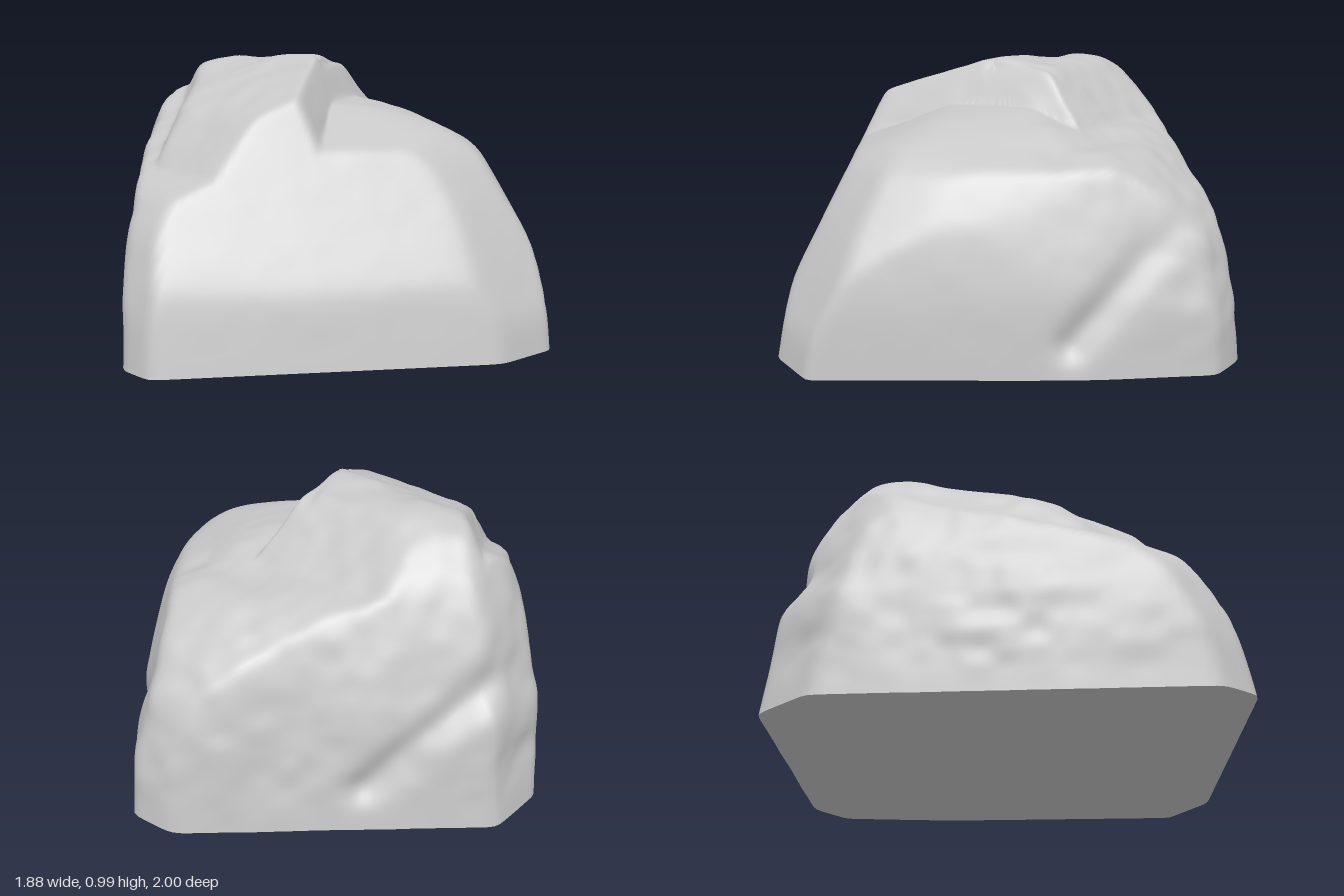
import * as THREE from 'three';

// Wall directions around the footprint, as [x, z]
const SE = [0.614, 0.789], E = [0.936, 0.351], ENE = [0.92, -0.39], NE = [0.805, -0.593], NNE = [0.73, -0.683];
const N = [0, -1], NNW = [-0.2, -0.98], NW = [-0.625, -0.78], W = [-0.998, -0.06], SW = [-0.812, 0.584], S = [-0.275, 0.96];

// Each wall profile is a list of [distance outward, height]; every segment becomes one facet plane
function facets(dir, profile) {
  const planes = [];
  for (let i = 0; i < profile.length - 1; i++) {
    const [d1, y1] = profile[i], [d2, y2] = profile[i + 1];
    const n = new THREE.Vector3(dir[0] * (y2 - y1), d1 - d2, dir[1] * (y2 - y1));
    planes.push(n.divideScalar(d1 * (y2 - y1) + y1 * (d1 - d2)));
  }
  return planes;
}

// Walls shared by both masses
const shared = [
  ...facets(NW, [[0.83, 0], [0.80, 0.3], [0.74, 0.55], [0.64, 0.8], [0.52, 0.94], [0.2, 1.03]]),
  ...facets(NNW, [[0.95, 0.36], [0.8, 0.57], [0.3, 0.95]]),
  ...facets(NNE, [[0.757, 0], [0.735, 0.25], [0.64, 0.55]]),
  ...facets(W, [[0.94, 0], [0.88, 0.45], [0.8, 0.69], [0.67, 0.935], [0.4, 1.02]]),
  ...facets(SE, [[0.765, 0], [0.72, 0.25], [0.5, 0.685]]),
  ...facets(E, [[0.91, 0], [0.89, 0.13]]),
];
// Broad lower mass with the shoulder
const shoulder = [
  ...shared, new THREE.Vector3(0.1, 1, 0).divideScalar(0.835),
  ...facets(SE, [[0.5, 0.685], [0.22, 0.8]]),
  ...facets(E, [[0.89, 0.13], [0.73, 0.46], [0.6, 0.65], [0.5, 0.73], [0.25, 0.81]]),
  ...facets(ENE, [[0.72, 0.45], [0.6, 0.65], [0.48, 0.74], [0.3, 0.8]]),
  ...facets(NE, [[0.725, 0], [0.71, 0.25], [0.66, 0.5], [0.57, 0.67], [0.35, 0.78], [0.15, 0.83]]),
  ...facets(N, [[1, 0], [0.985, 0.2], [0.93, 0.44], [0.8, 0.58], [0.65, 0.69], [0.45, 0.75]]),
  ...facets(SW, [[0.717, 0], [0.71, 0.35], [0.67, 0.62], [0.6, 0.8]]),
  ...facets(S, [[0.98, 0], [0.955, 0.2], [0.88, 0.43], [0.8, 0.54], [0.6, 0.63]]),
];
// Taller block, cut off by a steep step
const crown = [
  ...shared, new THREE.Vector3(0, 1 / 0.995, 0),
  ...facets(NE, [[0.725, 0], [0.71, 0.25], [0.62, 0.55]]),
  ...facets([0.982, -0.19], [[0.15, 0.72], [0.04, 0.91], [0, 0.985]]),
  ...facets(N, [[1, 0], [0.985, 0.2], [0.52, 0.66], [0.25, 0.96], [0, 1]]),
  ...facets(SW, [[0.717, 0], [0.66, 0.5], [0.5, 0.86], [0.43, 0.98]]),
  ...facets(S, [[0.98, 0], [0.945, 0.2], [0.86, 0.36], [0.66, 0.62], [0.49, 0.8], [0.2, 0.93], [0, 0.995]]),
];

// Slightly rounded intersection of the planes along direction u
function reach(planes, u) {
  const p = 110;
  let sum = 0;
  for (const n of planes) sum += Math.pow(Math.max(0, n.dot(u)), p);
  return Math.pow(sum, -1 / p);
}

// Seeded value noise
function hash(x, y, z) {
  const h = Math.sin(x * 127.1 + y * 311.7 + z * 74.7) * 43758.5453;
  return h - Math.floor(h);
}
function noise(x, y, z) {
  const c = [x, y, z].map(Math.floor);
  const f = [x - c[0], y - c[1], z - c[2]].map((t) => t * t * (3 - 2 * t));
  let v = 0;
  for (let k = 0; k < 8; k++) {
    const o = [k & 1, (k >> 1) & 1, k >> 2];
    const w = o.reduce((a, b, i) => a * (b ? f[i] : 1 - f[i]), 1);
    v += w * hash(c[0] + o[0], c[1] + o[1], c[2] + o[2]);
  }
  return v * 2 - 1;
}

// Eroded grooves: start, end, width, depth
const v3 = (x, y, z) => new THREE.Vector3(x, y, z);
const grooves = [
  [v3(0.24, 0.42, -0.82), v3(0.42, 0.12, -0.64), 0.06, 0.035],
  [v3(0.15, 0.77, -0.02), v3(0.17, 0.71, 0.4), 0.03, 0.02],
  [v3(-0.08, 0.97, -0.3), v3(0.0, 0.96, 0.0), 0.025, 0.015],
  [v3(-0.84, 0.5, -0.28), v3(-0.56, 0.15, -0.58), 0.06, 0.035],
  [v3(-0.05, 0.72, -0.5), v3(0.25, 0.72, -0.45), 0.07, 0.02],
].map(([a, b, width, depth]) => ({ line: new THREE.Line3(a, b), width, depth }));

function surfacePoint(u) {
  const p = u.clone().multiplyScalar(Math.max(reach(shoulder, u), reach(crown, u)));
  // Weathered on the far sides, clean on the front-left facets
  const rough = 0.12 + 0.88 * THREE.MathUtils.smoothstep(-(p.x * 0.8 + p.z * 0.25), -0.3, 0.25);
  const fade = 0.15 + 0.85 * THREE.MathUtils.smoothstep(p.y, 0, 0.2);
  let cut = -rough * fade * (0.012 * noise(p.x * 6, p.y * 6, p.z * 6) + 0.006 * noise(p.x * 14, p.y * 14, p.z * 14));
  const near = new THREE.Vector3();
  for (const g of grooves) {
    g.line.closestPointToPoint(p, true, near);
    cut += g.depth * Math.exp(-near.distanceToSquared(p) / (g.width * g.width));
  }
  return p.addScaledVector(u, -cut);
}

function makeGeometry(positions, index) {
  const g = new THREE.BufferGeometry();
  g.setAttribute('position', new THREE.Float32BufferAttribute(positions, 3));
  g.setIndex(index);
  g.computeVertexNormals();
  return g;
}

export function createModel() {
  const stone = new THREE.MeshStandardMaterial({ color: 0xc8c8c8 });
  stone.name = 'grey stone';
  const around = 240, up = 84;
  const body = [], index = [], base = [0, 0, 0], baseIndex = [];

  // Rings from the ground to the summit
  for (let i = 0; i <= up; i++) {
    const e = (i / up) * Math.PI / 2;
    for (let j = 0; j < around; j++) {
      const t = (j / around) * Math.PI * 2;
      const u = v3(Math.cos(e) * Math.cos(t), Math.sin(e), Math.cos(e) * Math.sin(t));
      const p = surfacePoint(u);
      body.push(p.x, p.y, p.z);
      if (i === 0) base.push(p.x, 0, p.z);
      const k = (j + 1) % around;
      if (i < up) {
        const a = i * around + j, b = i * around + k;
        index.push(a, a + around, b);
        if (i < up - 1) index.push(b, a + around, b + around);
      } else {
        baseIndex.push(0, j + 1, k + 1);
      }
    }
  }

  const group = new THREE.Group();
  group.name = 'boulder';
  const rock = new THREE.Mesh(makeGeometry(body, index), stone);
  rock.name = 'rockBody';
  const underside = new THREE.Mesh(makeGeometry(base, baseIndex), stone);
  underside.name = 'flatUnderside';
  group.add(rock, underside);
  return group;
}
